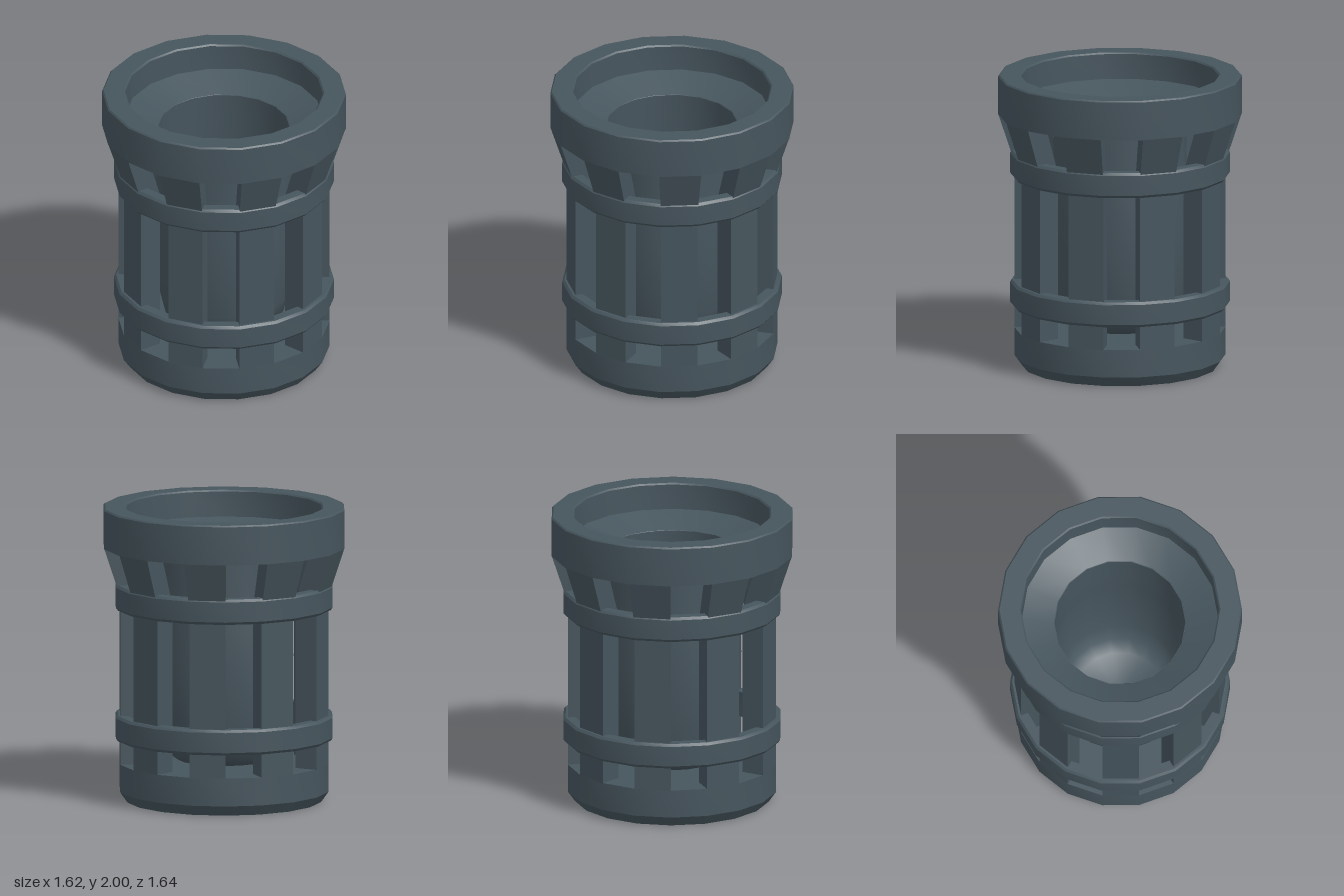
import * as THREE from 'three';
import { toCreasedNormals } from 'three/addons/utils/BufferGeometryUtils.js';

const SIDES = 18;
const STEP = (Math.PI * 2) / SIDES;

export function createModel() {
  const group = new THREE.Group();
  const slate = new THREE.MeshStandardMaterial({ color: 0x46555d });
  slate.name = 'slate grey';

  const add = (name, geometry) => {
    const mesh = new THREE.Mesh(geometry, slate);
    mesh.name = name;
    group.add(mesh);
    return mesh;
  };

  // Profile of [radius, y], outer side going up and inner side going down
  const turned = (name, profile, crease = 0.5) => {
    const points = profile.map(([r, y]) => new THREE.Vector2(r, y));
    return add(name, toCreasedNormals(new THREE.LatheGeometry(points, SIDES), crease));
  };

  // Solid chamfered base
  turned('base', [[0, 0], [0.66, 0], [0.71, 0.07], [0.71, 0.26], [0, 0.26]]);

  // Hollow barrel core, open at the top
  turned('core', [
    [0, 0.28], [0.31, 0.28], [0.4, 0.34], [0.44, 0.5], [0.456, 0.75], [0.472, 1],
    [0.456, 1.22], [0.447, 1.5], [0.445, 1.735], [0.44, 1.735], [0.44, 1.5], [0.45, 1.22],
    [0.465, 1], [0.45, 0.75], [0.43, 0.5], [0.39, 0.36], [0.31, 0.3], [0, 0.29],
  ], 1);

  // Collar with a recessed, sloping inner floor
  turned('collar', [
    [0.44, 1.73], [0.82, 1.73], [0.82, 1.99], [0.81, 2], [0.675, 2],
    [0.665, 1.99], [0.66, 1.82], [0.445, 1.737], [0.44, 1.73],
  ]);

  // Two hoops around the ribs
  [['lowerHoop', 0.42], ['upperHoop', 1.31]].forEach(([name, y]) => turned(name, [
    [0.66, y], [0.725, y], [0.74, y + 0.018], [0.74, y + 0.155],
    [0.725, y + 0.172], [0.66, y + 0.172], [0.66, y],
  ]));

  // Nine ribs, each one side wide, flaring out to the collar
  const levels = [
    { y: 0.255, inner: 0.55, outer: 0.71 },
    { y: 1.4, inner: 0.55, outer: 0.71 },
    { y: 1.735, inner: 0.66, outer: 0.82 },
  ];
  const box = new THREE.BoxGeometry(1, 1, 1, 1, 2, 1);
  const pos = box.attributes.position;
  for (let i = 0; i < pos.count; i++) {
    const level = levels[Math.round((pos.getY(i) + 0.5) * 2)];
    const angle = (pos.getX(i) + 0.5) * STEP;
    const r = pos.getZ(i) > 0 ? level.outer : level.inner;
    pos.setXYZ(i, r * Math.sin(angle), level.y, r * Math.cos(angle));
  }
  const ribGeometry = box.toNonIndexed();
  ribGeometry.computeVertexNormals();
  for (let i = 0; i < SIDES / 2; i++) {
    add('rib' + (i + 1), ribGeometry).rotation.y = i * 2 * STEP;
  }

  return group;
}
